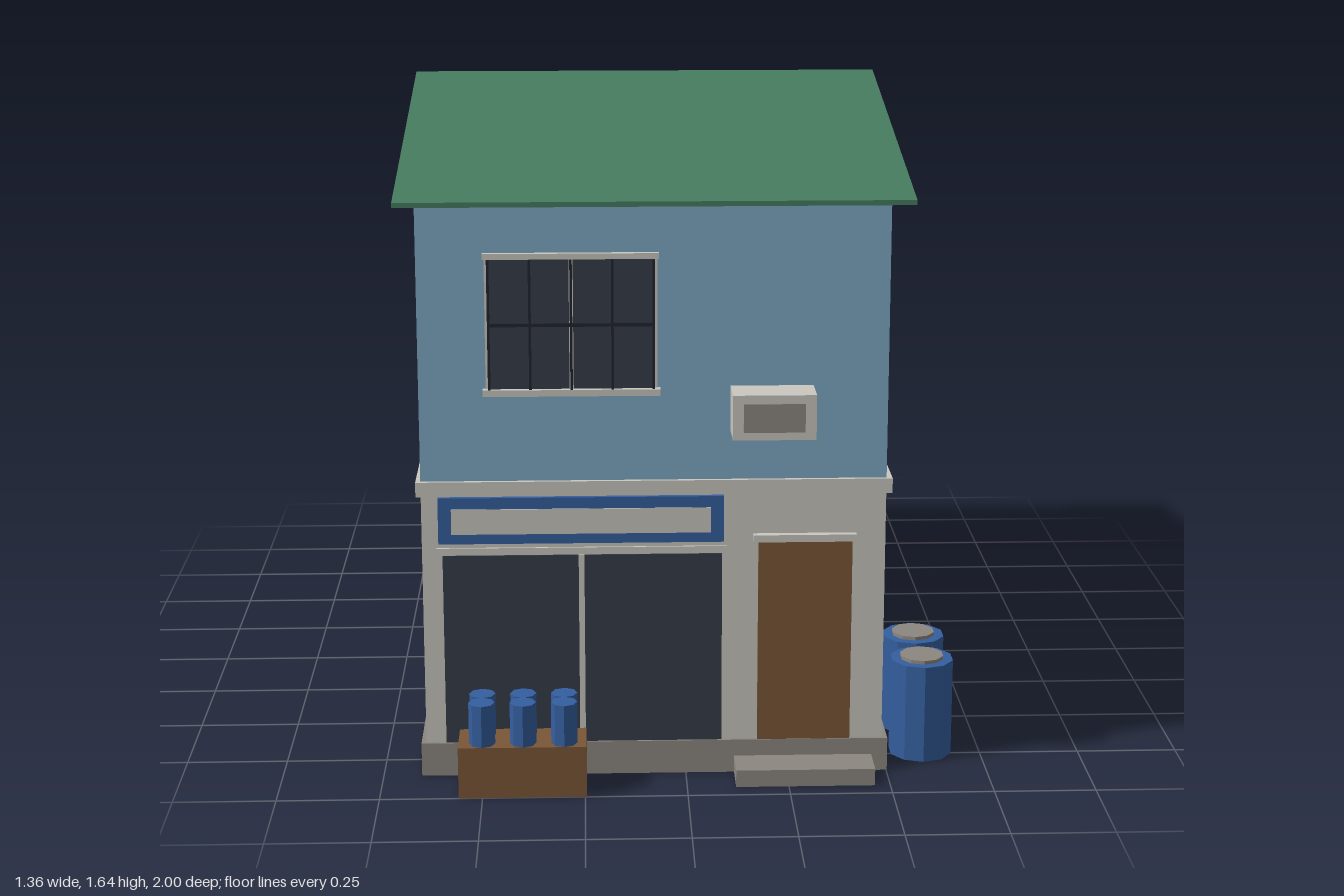
import * as THREE from 'three';

const mat = (name, color) => {
  const m = new THREE.MeshStandardMaterial({ color });
  m.name = name;
  return m;
};

export function createModel() {
  const blueWall = mat('blue wall', 0x7faac4);
  const cream = mat('cream', 0xcac7c0);
  const green = mat('roof green', 0x457c5f);
  const stone = mat('stone grey', 0x8d8780);
  const glass = mat('dark glass', 0x363c48);
  const iron = mat('iron', 0x20252e);
  const royal = mat('royal blue', 0x345f9f);
  const wood = mat('wood brown', 0x7a5637);

  const model = new THREE.Group();
  model.name = 'shopHouse';

  const add = (parent, name, geometry, material) => {
    const mesh = new THREE.Mesh(geometry, material);
    mesh.name = name;
    parent.add(mesh);
    return mesh;
  };
  // Box given by its lower and upper limits on each axis
  const box = (parent, name, material, x0, x1, y0, y1, z0, z1) => {
    const mesh = add(parent, name, new THREE.BoxGeometry(x1 - x0, y1 - y0, z1 - z0), material);
    mesh.position.set((x0 + x1) / 2, (y0 + y1) / 2, (z0 + z1) / 2);
    return mesh;
  };
  // Profile of [z, y] points extruded along x
  const profile = (name, material, points, x0, x1) => {
    const shape = new THREE.Shape(points.map(([z, y]) => new THREE.Vector2(z, y)));
    const geometry = new THREE.ExtrudeGeometry(shape, { depth: x1 - x0, bevelEnabled: false });
    geometry.rotateY(-Math.PI / 2).translate(x1, 0, 0);
    return add(model, name, geometry, material);
  };

  const L = -0.643, R = 0.488, F = 0.845, B = -0.857, RIDGE = -0.008;

  // Storeys, plinth and band
  box(model, 'plinth', stone, -0.655, 0.502, 0, 0.085, -0.867, 0.855);
  box(model, 'lowerWalls', cream, L, R, 0.08, 0.73, B, F);
  box(model, 'floorBand', cream, -0.655, 0.502, 0.72, 0.757, -0.867, 0.855);
  profile('upperWalls', blueWall,
    [[B, 0.75], [F, 0.75], [F, 1.476], [RIDGE, 1.628], [B, 1.476]], L, R);

  // Gable roof sheet
  profile('roof', green,
    [[-0.998, 1.452], [RIDGE, 1.63], [0.982, 1.452], [0.982, 1.464], [RIDGE, 1.643], [-0.998, 1.464]],
    -0.685, 0.53);

  // Shop front: frame and two panes
  const shop = new THREE.Group();
  shop.name = 'shopFront';
  model.add(shop);
  box(shop, 'shopFrame', cream, -0.61, 0.1, 0.085, 0.588, F - 0.01, F + 0.005);
  box(shop, 'shopPaneRight', glass, -0.593, -0.262, 0.086, 0.57, F, F + 0.008);
  box(shop, 'shopPaneLeft', glass, -0.248, 0.088, 0.086, 0.57, F, F + 0.008);
  box(shop, 'shopMullion', cream, -0.262, -0.248, 0.086, 0.57, F, F + 0.01);

  // Blank sign board
  box(model, 'signBoard', royal, -0.602, 0.092, 0.602, 0.718, F - 0.01, F + 0.015);
  box(model, 'signPanel', cream, -0.57, 0.06, 0.627, 0.69, F + 0.012, F + 0.018);

  // Door, lintel and step
  box(model, 'door', wood, 0.177, 0.407, 0.085, 0.6, F - 0.01, F + 0.008);
  box(model, 'doorLintel', cream, 0.164, 0.416, 0.6, 0.618, F - 0.01, F + 0.018);
  box(model, 'doorStep', stone, 0.12, 0.462, 0, 0.043, 0.84, 0.952);

  // Window facing +z, origin at the middle of the glass on the wall plane
  const makeWindow = (name, w, h, grille) => {
    const g = new THREE.Group();
    g.name = name;
    const x = w / 2, y = h / 2;
    box(g, 'windowFrame', cream, -x - 0.006, x + 0.006, -y, y, -0.01, 0.004);
    box(g, 'windowGlass', glass, -x, x, -y, y, 0, 0.007);
    box(g, 'windowMullion', cream, -0.005, 0.005, -y, y, 0, 0.009);
    box(g, 'windowLintel', cream, -x - 0.01, x + 0.01, y, y + 0.014, -0.01, 0.014);
    box(g, 'windowSill', cream, -x - 0.013, x + 0.013, -y - 0.016, -y, -0.01, 0.02);
    if (grille) {
      for (let i = 0; i <= 4; i++) {
        const bx = (i / 4 - 0.5) * (w - 0.006);
        box(g, 'grilleBar', iron, bx - 0.003, bx + 0.003, -y, y, 0.012, 0.018);
      }
      box(g, 'grilleRail', iron, -x, x, -0.004, 0.004, 0.012, 0.018);
    }
    model.add(g);
    return g;
  };
  makeWindow('frontWindow', 0.4, 0.317, true).position.set(-0.275, 1.146, F);
  for (const [name, y] of [['backUpperWindow', 1.146], ['backLowerWindow', 0.41]]) {
    const w = makeWindow(name, 0.305, 0.317, false);
    w.position.set(-0.075, y, B);
    w.rotation.y = Math.PI;
  }
  const side = makeWindow('sideWindow', 0.22, 0.257, false);
  side.position.set(L, 1.148, 0.34);
  side.rotation.y = -Math.PI / 2;

  // Air conditioner
  box(model, 'airConditioner', cream, 0.107, 0.307, 0.88, 0.99, F - 0.01, 0.944);
  box(model, 'airConditionerGrille', stone, 0.133, 0.28, 0.9, 0.97, 0.942, 0.95);

  // Upright low-poly cylinder standing on y0
  const drum = (name, material, r, h, sides, x, y0, z) => {
    const geometry = new THREE.CylinderGeometry(r, r, h, sides).toNonIndexed();
    geometry.computeVertexNormals();
    add(model, name, geometry, material).position.set(x, y0 + h / 2, z);
  };

  // Barrels beside the house
  for (const z of [0.55, 0.728]) {
    drum('barrel', royal, 0.08, 0.25, 10, 0.6, 0, z);
    drum('barrelLid', stone, 0.055, 0.012, 10, 0.6, 0.247, z);
  }

  // Crate holding six cans
  box(model, 'crate', wood, -0.558, -0.246, 0, 0.13, 0.876, 1.0);
  for (const x of [-0.5, -0.4, -0.3]) {
    for (const z of [0.907, 0.968]) drum('can', royal, 0.032, 0.11, 8, x, 0.125, z);
  }

  return model;
}
